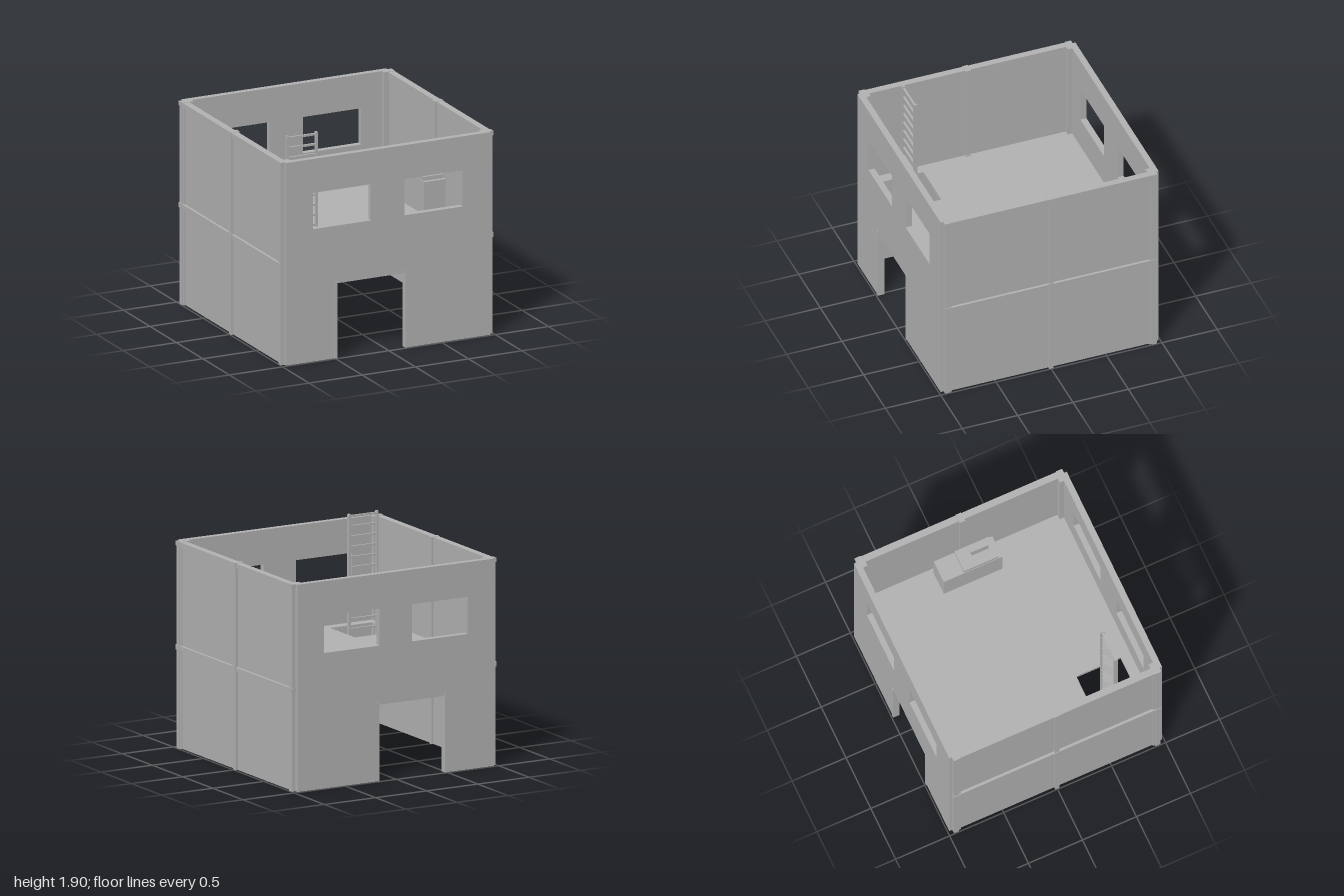
import * as THREE from 'three';

export function createModel() {
  const model = new THREE.Group();
  model.name = 'twoStoreyHut';
  const grey = new THREE.MeshStandardMaterial({ color: 0xb2b2b2 });
  grey.name = 'grey';

  // Box given by its extents on each axis
  function block(name, x0, x1, y0, y1, z0, z1, parent = model) {
    const mesh = new THREE.Mesh(new THREE.BoxGeometry(x1 - x0, y1 - y0, z1 - z0), grey);
    mesh.position.set((x0 + x1) / 2, (y0 + y1) / 2, (z0 + z1) / 2);
    mesh.name = name;
    parent.add(mesh);
    return mesh;
  }
  // Same box mirrored to the given sides of x and z
  function sided(name, sx, sz, x0, x1, y0, y1, z0, z1) {
    const mesh = block(name, x0, x1, y0, y1, z0, z1);
    mesh.position.x *= sx;
    mesh.position.z *= sz;
  }
  function rectPath(path, x0, y0, x1, y1) {
    path.moveTo(x0, y0);
    path.lineTo(x1, y0);
    path.lineTo(x1, y1);
    path.lineTo(x0, y1);
    path.closePath();
    return path;
  }

  const H = 1.79;

  // Front and back walls: doorway and two windows
  const wall = new THREE.Shape();
  [[-0.96, 0], [-0.48, 0], [-0.48, 0.66], [0.16, 0.66], [0.16, 0], [0.96, 0], [0.96, H], [-0.96, H]]
    .forEach(([x, y], i) => (i ? wall.lineTo(x, y) : wall.moveTo(x, y)));
  wall.closePath();
  wall.holes.push(rectPath(new THREE.Path(), -0.705, 1.17, -0.16, 1.49));
  wall.holes.push(rectPath(new THREE.Path(), 0.155, 1.17, 0.70, 1.49));
  const wallGeometry = new THREE.ExtrudeGeometry(wall, { depth: 0.055, bevelEnabled: false });
  [['frontWall', 0.93], ['backWall', -0.985]].forEach(([name, z]) => {
    const mesh = new THREE.Mesh(wallGeometry, grey);
    mesh.name = name;
    mesh.position.z = z;
    model.add(mesh);
  });

  for (const s of [1, -1]) {
    // Door jambs, slightly proud of the wall
    sided('doorJamb', 1, s, -0.503, -0.48, 0, 0.68, 0.93, 0.991);
    sided('doorJamb', 1, s, 0.16, 0.183, 0, 0.68, 0.93, 0.991);

    // Side wall: recessed panel, beams and middle post
    sided('sidePanel', s, 1, 0.94, 0.972, 0, H - 0.005, -0.93, 0.93);
    sided('middleBeam', s, 1, 0.925, 0.995, 0.855, 0.89, -0.955, 0.955);
    sided('topBeam', s, 1, 0.935, 0.995, 1.745, H - 0.003, -0.955, 0.955);
    sided('middlePost', s, 1, 0.922, 0.995, 0, H - 0.003, -0.02, 0.018);
    sided('beamJoint', s, 1, 0.918, 1.0, 0.845, 0.9, -0.026, 0.024);
    sided('topJoint', s, 1, 0.918, 1.0, 1.74, H, -0.026, 0.024);

    // Stepped corner posts with joints at the beams
    for (const t of [1, -1]) {
      sided('cornerPost', s, t, 0.895, 0.985, 0, H, 0.89, 0.958);
      sided('cornerStrip', s, t, 0.935, 0.995, 0, H - 0.002, 0.91, 0.955);
      sided('cornerJoint', s, t, 0.95, 1.0, 0.85, 0.895, 0.905, 0.96);
      sided('cornerCap', s, t, 0.95, 1.0, 1.75, H, 0.905, 0.96);
    }
  }

  // Upper floor with ladder hatch
  const floor = rectPath(new THREE.Shape(), -0.94, -0.93, 0.94, 0.93);
  floor.holes.push(rectPath(new THREE.Path(), -0.85, -0.84, -0.44, -0.43));
  const floorMesh = new THREE.Mesh(
    new THREE.ExtrudeGeometry(floor, { depth: 0.035, bevelEnabled: false }), grey);
  floorMesh.name = 'upperFloor';
  floorMesh.rotation.x = -Math.PI / 2;
  floorMesh.position.y = 0.855;
  model.add(floorMesh);

  // Ladder
  const ladder = new THREE.Group();
  ladder.name = 'ladder';
  model.add(ladder);
  block('ladderRail', -0.787, -0.768, 0, 1.905, 0.625, 0.655, ladder);
  block('ladderRail', -0.515, -0.496, 0, 1.905, 0.625, 0.655, ladder);
  for (let y = 1.885; y > 0.05; y -= 0.0888) {
    block('ladderRung', -0.77, -0.513, y - 0.009, y + 0.009, 0.631, 0.649, ladder);
  }

  // Cabinet with raised top and upright plate
  const cabinet = new THREE.Group();
  cabinet.name = 'cabinet';
  model.add(cabinet);
  block('cabinetBody', 0.695, 0.898, 0.89, 1.18, -0.275, 0.267, cabinet);
  block('cabinetTop', 0.70, 0.895, 1.18, 1.215, -0.085, 0.235, cabinet);
  block('uprightPlate', 0.80, 0.82, 1.215, 1.3, 0.03, 0.185, cabinet);

  return model;
}
